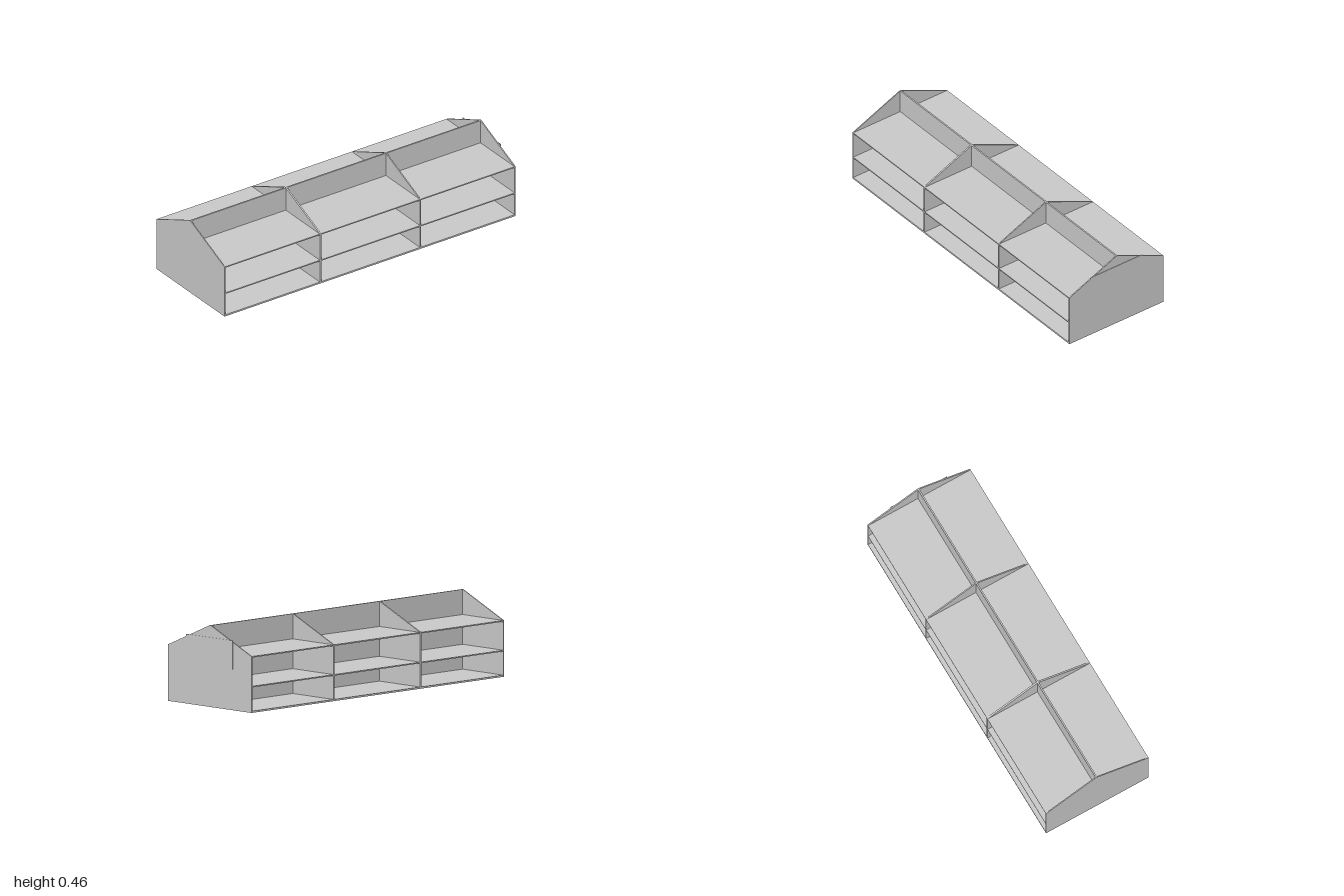
import * as THREE from 'three';

export function createModel() {
  const group = new THREE.Group();
  const material = new THREE.MeshStandardMaterial({ color: 0xcccccc, flatShading: true });

  const add = (name, geometry, x, y, z) => {
    const mesh = new THREE.Mesh(geometry, material);
    mesh.name = name;
    mesh.position.set(x, y, z);
    group.add(mesh);
  };
  const box = (name, x0, x1, y0, y1, z0, z1) =>
    add(name, new THREE.BoxGeometry(x1 - x0, y1 - y0, z1 - z0),
      (x0 + x1) / 2, (y0 + y1) / 2, (z0 + z1) / 2);

  const depth = 0.333, eave = 0.32, ridge = 0.463;
  const backZ0 = -0.009, backZ1 = 0;

  // Gabled upright panels: [name, left edge, thickness]
  const profile = new THREE.Shape([
    [-depth, 0], [depth, 0], [depth, eave],
    [-backZ0, ridge], [-backZ1, ridge], [-depth, eave],
  ].map(([z, y]) => new THREE.Vector2(z, y)));
  const panels = [
    ['rightEndPanel', -1, 0.006],
    ['divider', -0.346, 0.01],
    ['divider', 0.341, 0.007],
    ['leftEndPanel', 0.99, 0.007],
  ];
  for (const [name, x, thickness] of panels) {
    const geometry = new THREE.ExtrudeGeometry(profile, { depth: thickness, bevelEnabled: false });
    geometry.rotateY(Math.PI / 2);
    // Extrusion runs along +x, with the profile's horizontal axis along -z
    add(name, geometry, x, 0, 0);
  }

  // Each bay has a central back panel and three shelves on both sides of it
  const shelves = [['baseShelf', 0, 0.01], ['middleShelf', 0.144, 0.151], ['topShelf', 0.313, eave]];
  for (let i = 0; i < panels.length - 1; i++) {
    const x0 = panels[i][1] + panels[i][2];
    const x1 = panels[i + 1][1];
    box('backPanel', x0, x1, 0, ridge, backZ0, backZ1);
    for (const [name, y0, y1] of shelves) {
      box(name, x0, x1, y0, y1, backZ1, depth);
      box(name, x0, x1, y0, y1, -depth, backZ0);
    }
  }

  // Thin plain plate on the outside of the left end
  box('endPlate', 0.997, 0.999, 0.23, 0.395, -0.185, 0.185);

  return group;
}
